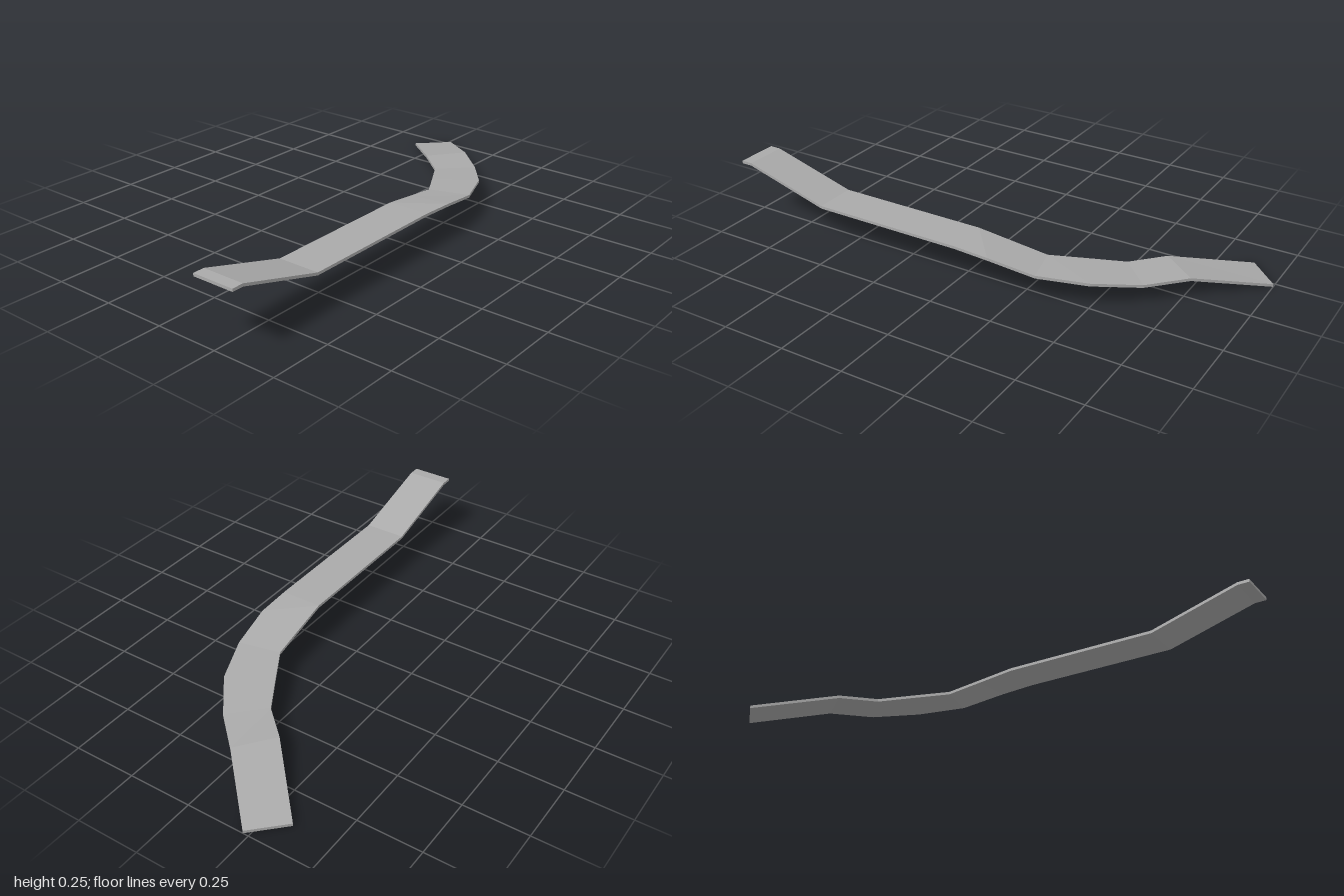
import * as THREE from 'three';

const THICKNESS = 0.011;

// Cross-sections along the track: inner x, top y, z, then outer x, top y, z
const SECTIONS = [
  [0.176, 0.246, 1.0, 0.343, 0.246, 1.0],
  [0.176, 0.246, 0.955, 0.343, 0.246, 0.955],
  [0.176, 0.148, 0.61, 0.343, 0.148, 0.61],
  [0.176, 0.148, 0.0, 0.343, 0.148, 0.0],
  [0.166, 0.127, -0.14, 0.343, 0.141, -0.14],
  [0.156, 0.106, -0.28, 0.318, 0.111, -0.32],
  [0.084, 0.094, -0.405, 0.246, 0.098, -0.5],
  [0.011, 0.081, -0.53, 0.13, 0.08, -0.65],
  [-0.106, 0.08, -0.635, 0.0, 0.08, -0.772],
  [-0.343, 0.011, -0.885, -0.228, 0.011, -1.0],
];

// Slab swept through the sections, closed at both ends, with hard facets
function slabGeometry(sections, thickness) {
  const rings = sections.map(([ix, iy, iz, ox, oy, oz]) => [
    [ix, iy, iz],
    [ox, oy, oz],
    [ox, oy - thickness, oz],
    [ix, iy - thickness, iz],
  ]);
  const positions = [];
  const quad = (a, b, c, d) => positions.push(...a, ...b, ...c, ...a, ...c, ...d);

  for (let i = 0; i < rings.length - 1; i++) {
    for (let k = 0; k < 4; k++) {
      const n = (k + 1) % 4;
      quad(rings[i][k], rings[i][n], rings[i + 1][n], rings[i + 1][k]);
    }
  }
  const [a, b, c, d] = rings[0];
  quad(d, c, b, a);
  quad(...rings[rings.length - 1]);

  const geometry = new THREE.BufferGeometry();
  geometry.setAttribute('position', new THREE.Float32BufferAttribute(positions, 3));
  geometry.computeVertexNormals();
  return geometry;
}

export function createModel() {
  const group = new THREE.Group();
  group.name = 'curvedRamp';

  const grey = new THREE.MeshStandardMaterial({ color: 0xaaaaaa });
  grey.name = 'grey';

  // Sloping track that bends to one side
  const track = new THREE.Mesh(slabGeometry(SECTIONS, THICKNESS), grey);
  track.name = 'trackSlab';
  group.add(track);

  return group;
}
